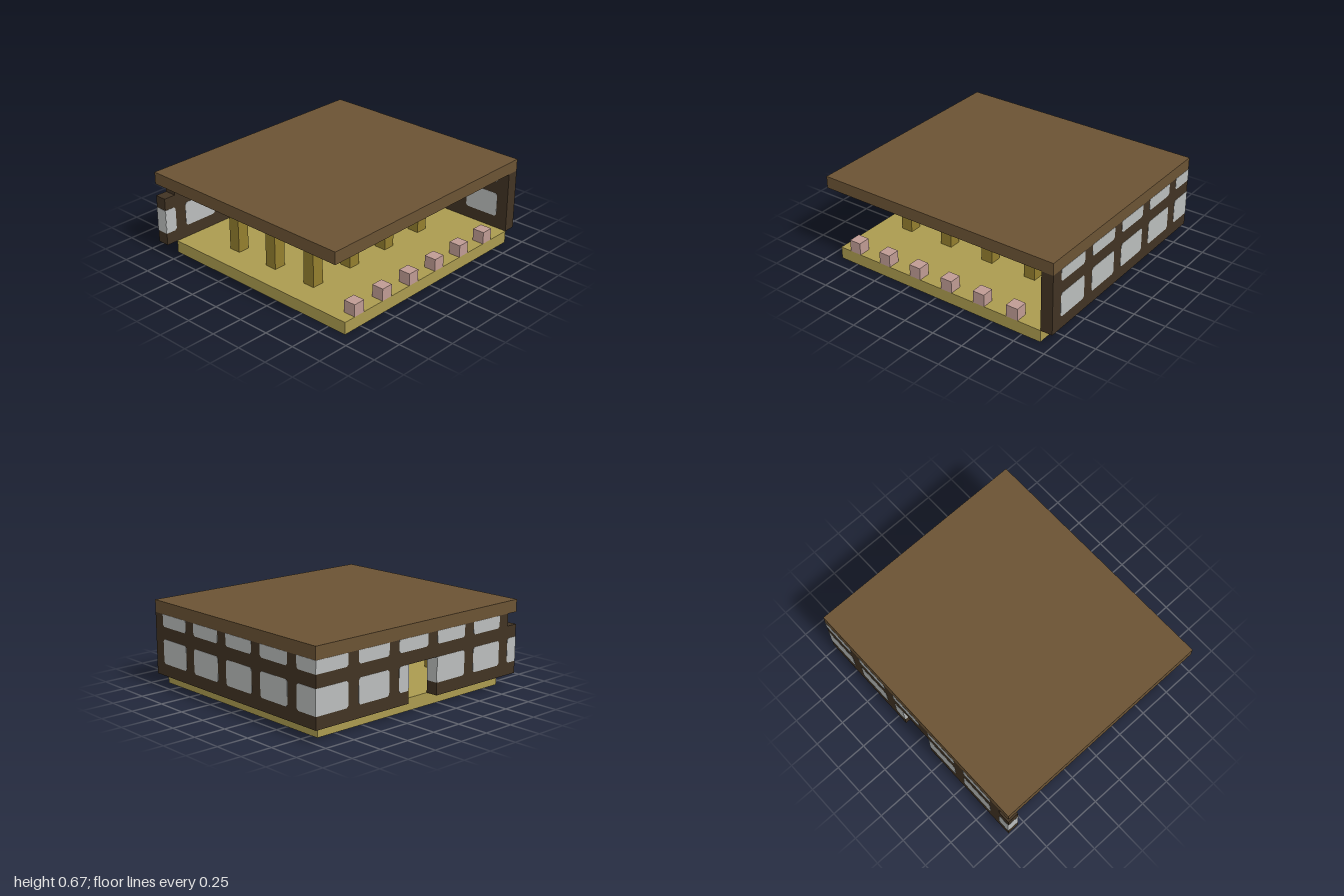
import * as THREE from 'three';

// Everything sits on a grid of cubic cells: 21 wide, 7 tall, 19 deep.
const U = 2 / 21;
const X = (i) => -1 + i * U;
const Y = (j) => j * U;
const Z = (k) => (k - 9.5) * U;

const mat = (name, color) => {
  const m = new THREE.MeshStandardMaterial({ color });
  m.name = name;
  return m;
};

export function createModel() {
  const model = new THREE.Group();
  model.name = 'pavilion';
  const brown = mat('roof brown', 0x6b5334);
  const sand = mat('floor sand', 0xab9b4f);
  const dark = mat('dark timber', 0x413323);
  const glass = mat('window grey', 0xbabdbc);
  const gold = mat('post gold', 0x937e2e);
  const pink = mat('block pink', 0xbf9b93);

  const group = (name) => {
    const g = new THREE.Group();
    g.name = name;
    model.add(g);
    return g;
  };

  // Box filling the cells from corner a up to corner b
  const block = (parent, name, material, a, b) => {
    const size = a.map((v, n) => (b[n] - v) * U);
    const mesh = new THREE.Mesh(new THREE.BoxGeometry(...size), material);
    mesh.name = name;
    mesh.position.set(X((a[0] + b[0]) / 2), Y((a[1] + b[1]) / 2), Z((a[2] + b[2]) / 2));
    parent.add(mesh);
  };

  // Thin pane in the u-y plane; corner cuts: bottom left, bottom right, top right, top left
  const T = 0.004;
  const pane = (u0, u1, y0, y1, cuts) => {
    const corners = [[u0, y0, 1, 1], [u1, y0, -1, 1], [u1, y1, -1, -1], [u0, y1, 1, -1]];
    const pts = [];
    corners.forEach(([u, y, du, dy], n) => {
      if (!cuts[n]) return pts.push(new THREE.Vector2(u, y));
      const c = 0.015;
      const alongY = new THREE.Vector2(u, y + dy * c);
      const alongU = new THREE.Vector2(u + du * c, y);
      pts.push(...(n % 2 ? [alongU, alongY] : [alongY, alongU]));
    });
    const geo = new THREE.ExtrudeGeometry(new THREE.Shape(pts), { depth: T, bevelEnabled: false });
    return geo.translate(0, 0, -T / 2);
  };
  const paneOnZ = (parent, k, a, b, j0, j1, cuts) => {
    const mesh = new THREE.Mesh(pane(X(a), X(b), Y(j0), Y(j1), cuts), glass);
    mesh.name = 'windowPane';
    mesh.position.z = Z(k);
    parent.add(mesh);
  };
  const paneOnX = (parent, i, a, b, j0, j1, cuts) => {
    const mesh = new THREE.Mesh(pane(Z(a), Z(b), Y(j0), Y(j1), cuts), glass);
    mesh.name = 'windowPane';
    mesh.rotation.y = -Math.PI / 2;
    mesh.position.x = X(i);
    parent.add(mesh);
  };

  // Floor and roof slabs
  block(model, 'floor', sand, [1, 0, 1], [20, 1, 19]);
  block(model, 'roof', brown, [0, 6, 0], [21, 7, 19]);

  // Back wall with a doorway and a missing top corner
  const back = group('backWall');
  block(back, 'wallRightOfDoor', dark, [0, 1, 0], [9, 4, 1]);
  block(back, 'wallLeftOfDoor', dark, [12, 1, 0], [21, 4, 1]);
  block(back, 'middleRail', dark, [0, 4, 0], [21, 5, 1]);
  block(back, 'upperWall', dark, [1, 5, 0], [21, 6, 1]);
  for (const k of [0, 1]) {
    for (const [a, b] of [[0, 1], [2, 5], [6, 9], [12, 13], [14, 17], [18, 21]]) {
      const l = a !== 0 && a !== 12;
      const r = b !== 9 && b !== 21;
      paneOnZ(back, k, a, b, 2, 4, [l, r, r, l]);
    }
    for (const a of [2, 6, 10, 14, 18]) paneOnZ(back, k, a, a + 3, 5, 6, [true, a < 18, false, false]);
  }
  // Glass ends at the door jambs and the free end
  for (const i of [0, 9, 12]) paneOnX(back, i, 0, 1, 2, 4, []);

  // Side wall
  const side = group('sideWall');
  block(side, 'sideTimber', dark, [20, 1, 1], [21, 6, 19]);
  for (const i of [20, 21]) {
    for (const a of [-1, 3, 7, 11, 15]) {
      const l = a > 0;
      paneOnX(side, i, Math.max(a, 0), a + 3, 2, 4, [l, true, true, l]);
      paneOnX(side, i, Math.max(a, 0), a + 3, 5, 6, [l, true, false, false]);
    }
  }

  // Standing posts
  const posts = group('posts');
  for (const i of [3, 7, 11, 15])
    for (const k of [5, 9, 13]) block(posts, 'post', gold, [i, 1, k], [i + 1, 4, k + 1]);

  // Small blocks under the ceiling
  const ceiling = group('ceilingBlocks');
  for (const i of [4, 10, 16])
    for (const k of [3, 9, 15]) block(ceiling, 'ceilingBlock', gold, [i, 5, k], [i + 1, 6, k + 1]);

  // Row of blocks along the front edge
  const edge = group('frontBlocks');
  for (let i = 2; i <= 17; i += 3) block(edge, 'frontBlock', pink, [i, 1, 18], [i + 1, 2, 19]);

  return model;
}
